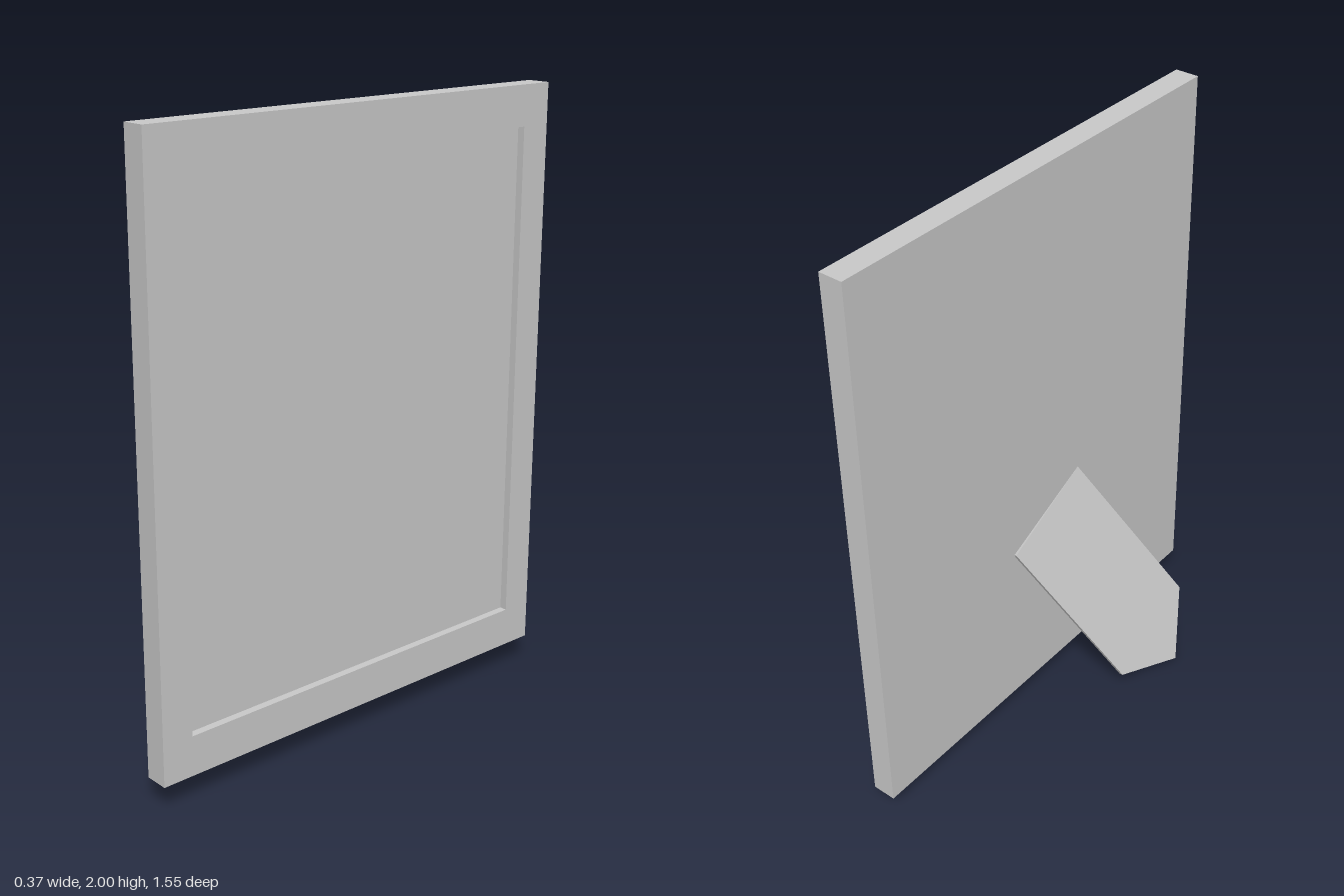
import * as THREE from 'three';

const BACK = 0.107, FRONT = 0.187, RECESS = 0.025;

export function createModel() {
  const group = new THREE.Group();
  const material = new THREE.MeshStandardMaterial({ color: 0xcccccc, flatShading: true });
  const add = (name, geometry) => {
    const mesh = new THREE.Mesh(geometry, material);
    mesh.name = name;
    group.add(mesh);
    return mesh;
  };
  // Rectangle outline: half width, bottom, top
  const rect = (Outline, w, y0, y1) => new Outline([[-w, y0], [w, y0], [w, y1], [-w, y1]]
    .map(([x, y]) => new THREE.Vector2(x, y)));

  // Rectangular border, facing +x
  const border = rect(THREE.Shape, 0.775, 0.09, 2);
  border.holes.push(rect(THREE.Path, 0.67, 0.22, 1.87));
  add('frame', new THREE.ExtrudeGeometry(border, { depth: FRONT - BACK, bevelEnabled: false })
    .rotateY(Math.PI / 2).translate(BACK, 0, 0));

  // Picture panel, set back inside the border
  const depth = FRONT - BACK - RECESS;
  add('picturePanel', new THREE.BoxGeometry(depth, 1.65, 1.34))
    .position.set(BACK + depth / 2, 1.045, 0);

  // Slanted easel leg: outer face corners, thickened toward the frame
  const corners = [
    [0.107, 0.85, 0.18], [-0.124, 0.24, 0.475], [-0.187, 0.004, 0.377],
    [-0.134, 0.08, 0.13], [0.107, 0.69, -0.15],
  ].map(p => new THREE.Vector3(...p));
  const [top, side, tip] = corners;
  const u = top.clone().sub(side).normalize();
  const n = u.clone().cross(tip.clone().sub(side)).normalize();
  const v = n.clone().cross(u);
  const outline = new THREE.Shape(corners.map(p => {
    const d = p.clone().sub(tip);
    return new THREE.Vector2(d.dot(u), d.dot(v));
  }));
  const thickness = 0.014;
  const placement = new THREE.Matrix4().makeBasis(u, v, n)
    .setPosition(tip.clone().addScaledVector(n, -thickness));
  add('easelLeg', new THREE.ExtrudeGeometry(outline, { depth: thickness, bevelEnabled: false })
    .applyMatrix4(placement));

  return group;
}
